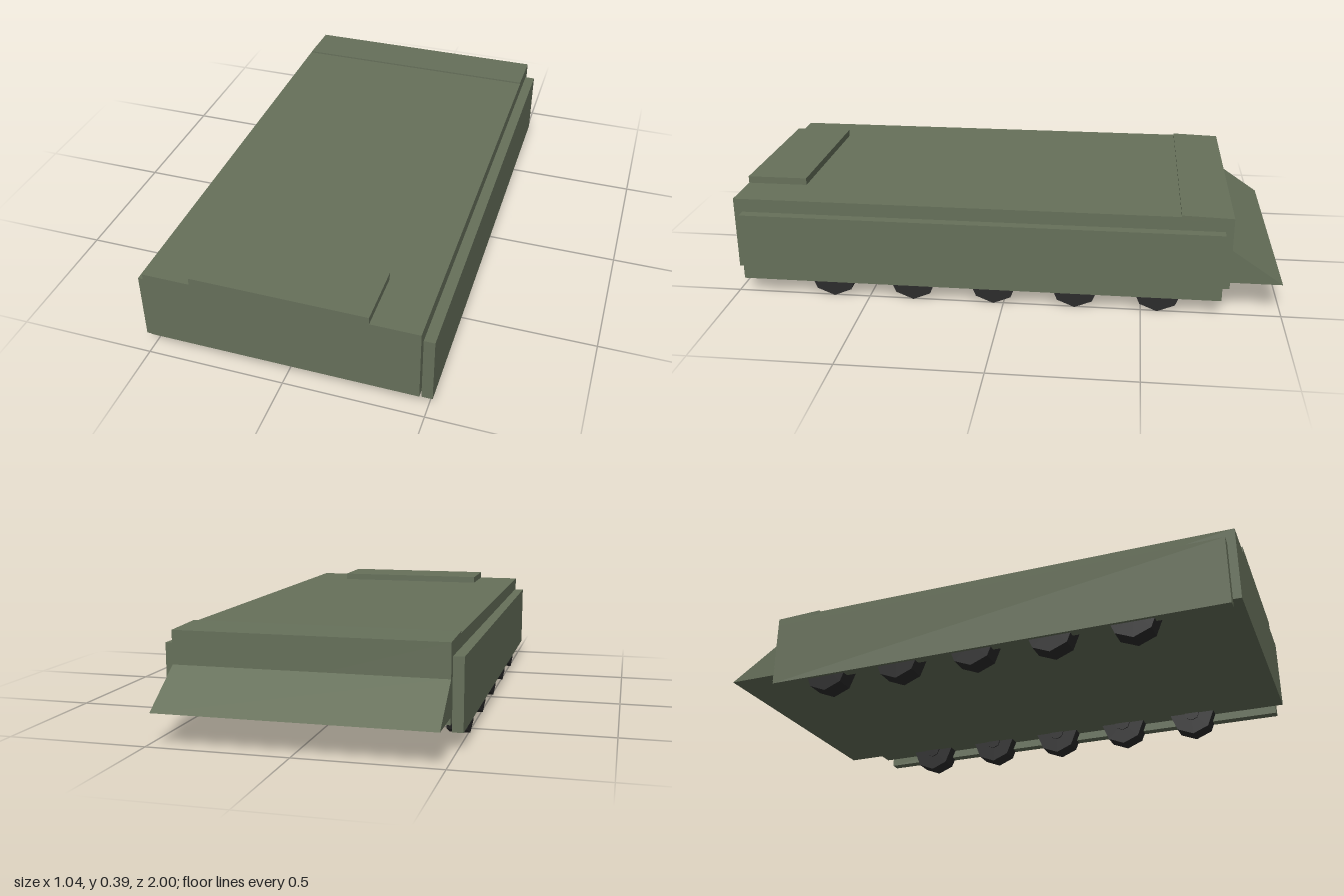
import * as THREE from 'three';

const olive = new THREE.MeshStandardMaterial({ color: 0x66705a });
olive.name = 'olive paint';
const rubber = new THREE.MeshStandardMaterial({ color: 0x2b2b2b });
rubber.name = 'dark rubber';

// Box given by its min and max on each axis
function box(name, [x0, x1], [y0, y1], [z0, z1]) {
  const mesh = new THREE.Mesh(new THREE.BoxGeometry(x1 - x0, y1 - y0, z1 - z0), olive);
  mesh.position.set((x0 + x1) / 2, (y0 + y1) / 2, (z0 + z1) / 2);
  mesh.name = name;
  return mesh;
}

// Side profile of [z, y] points extruded across the hull width
function prism(name, points, halfWidth) {
  const shape = new THREE.Shape(points.map(([z, y]) => new THREE.Vector2(-z, y)));
  const geometry = new THREE.ExtrudeGeometry(shape, { depth: halfWidth * 2, bevelEnabled: false });
  geometry.translate(0, 0, -halfWidth).rotateY(Math.PI / 2);
  const mesh = new THREE.Mesh(geometry, olive);
  mesh.name = name;
  return mesh;
}

// Eight-sided disc lying across the x axis with a corner at the bottom
function disc(name, radius, width, x, y, z) {
  const geometry = new THREE.CylinderGeometry(radius, radius, width, 8).toNonIndexed();
  geometry.computeVertexNormals();
  geometry.rotateZ(Math.PI / 2);
  const mesh = new THREE.Mesh(geometry, rubber);
  mesh.position.set(x, y, z);
  mesh.name = name;
  return mesh;
}

export function createModel() {
  const model = new THREE.Group();
  model.name = 'armouredHull';

  // Main body, raised front deck plate, sloped rear deck and rear wedge
  model.add(box('hull', [-0.48, 0.48], [0.09, 0.36], [-0.814, 1]));
  model.add(box('frontDeckPlate', [-0.31, 0.31], [0.355, 0.386], [0.775, 1]));
  model.add(prism('rearDeckPlate', [[-0.63, 0.35], [-0.63, 0.366], [-0.814, 0.36], [-0.814, 0.35]], 0.48));
  model.add(prism('rearWedge', [[-0.81, 0.115], [-0.81, 0.243], [-1, 0.115]], 0.48));

  // Side skirts and road wheels
  for (const side of [-1, 1]) {
    const skirt = box('sideSkirt', [-0.019, 0.019], [0.059, 0.31], [-0.785, 0.97]);
    skirt.position.x = side * 0.499;
    model.add(skirt);
    for (let i = 0; i < 5; i++) {
      const z = 0.633 - i * 0.298;
      model.add(disc('roadWheel', 0.09, 0.072, side * 0.47, 0.09, z));
      model.add(disc('wheelHub', 0.031, 0.02, side * 0.47 - 0.031, 0.09, z));
    }
  }
  return model;
}
